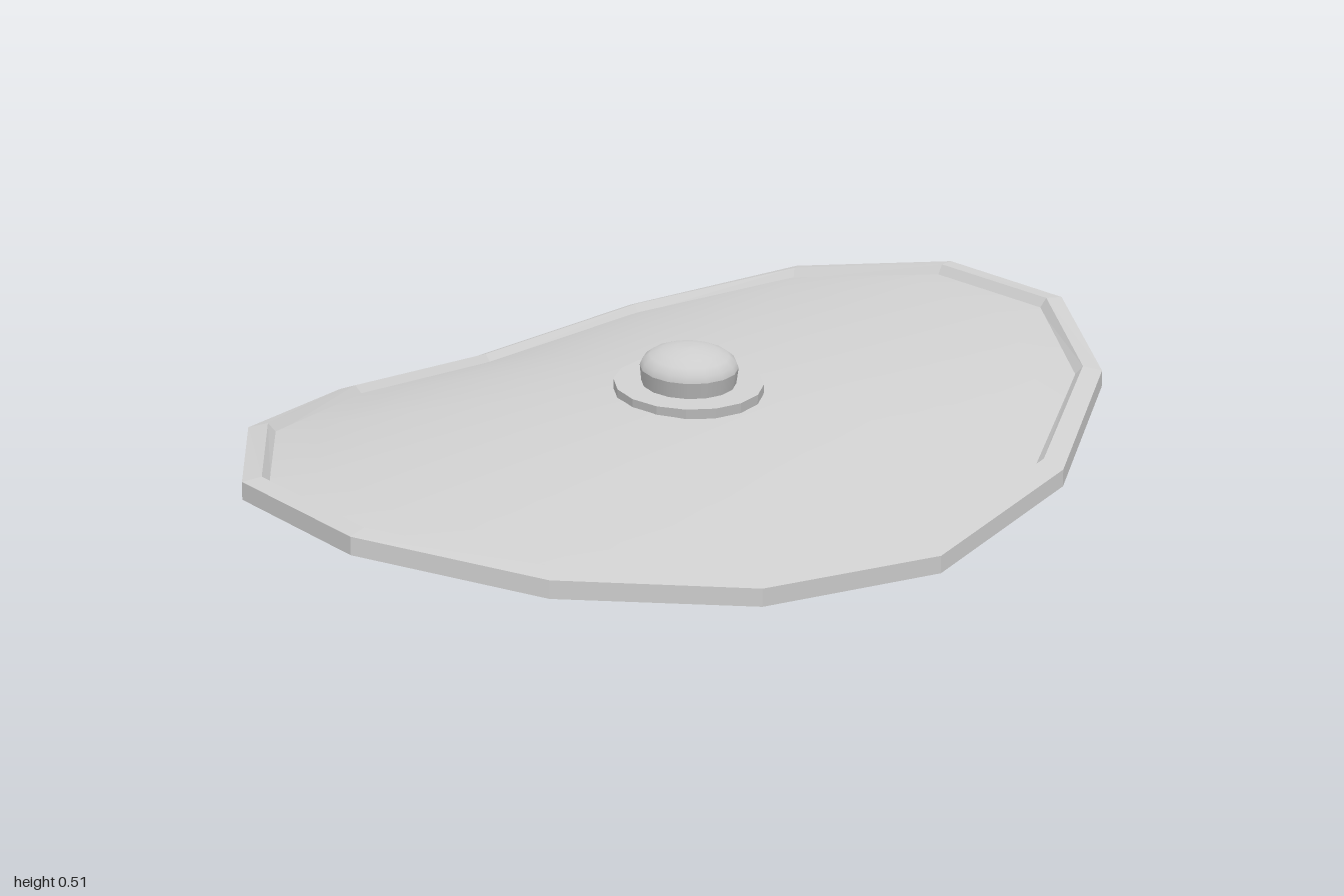
import * as THREE from 'three';

// Outer top edge of the rim: x, y, z, clockwise from the back
const EDGE = [
  [-0.12, 0.515, -1], [0.22, 0.455, -1], [0.51, 0.33, -0.79], [0.685, 0.17, -0.45],
  [0.725, 0.05, -0.03], [0.66, 0.035, 0.4], [0.475, 0.075, 0.77], [0.175, 0.145, 1],
  [-0.175, 0.205, 1], [-0.485, 0.255, 0.77], [-0.67, 0.282, 0.4], [-0.725, 0.313, -0.03],
  [-0.65, 0.41, -0.45], [-0.44, 0.495, -0.8],
];
const BOSS = { x: 0.03, z: 0, hole: 0.1 };

// Tilted arch that the whole shield follows
const arch = (x, z) => 0.32 - 0.15 * z - 0.185 * x - 0.28 * x * x;

// Point set in from the rim edge by w and lifted by dy, following the arch
function inset([x, y, z], w, dy) {
  const px = x * (1 - w / 0.725), pz = z * (1 - w);
  return [px, y + arch(px, pz) - arch(x, z) + dy, pz];
}

// Surface through columns of points, closed around the oval
function skin(columns) {
  const n = columns.length, m = columns[0].length, index = [];
  for (let i = 0; i < n; i++) {
    const k = (i + 1) % n;
    for (let j = 0; j < m - 1; j++) {
      const a = i * m + j, b = a + 1, c = k * m + j, d = c + 1;
      index.push(a, b, c, b, d, c);
    }
  }
  const g = new THREE.BufferGeometry();
  g.setAttribute('position', new THREE.Float32BufferAttribute(columns.flat(2), 3));
  g.setIndex(index);
  g.computeVertexNormals();
  return g;
}

function material(options = {}) {
  return new THREE.MeshStandardMaterial({ color: 0xcccccc, ...options });
}

function addMesh(parent, name, geometry, mat) {
  const mesh = new THREE.Mesh(geometry, mat);
  mesh.name = name;
  parent.add(mesh);
  return mesh;
}

const lathe = (points, segments) =>
  new THREE.LatheGeometry(points.map(([r, y]) => new THREE.Vector2(r, y)), segments);

export function createModel() {
  const group = new THREE.Group();
  group.name = 'shield';

  // Raised rim: outer wall, top, inner bevel, inner underside and bottom
  const rim = EDGE.map((p) => [
    inset(p, 0, -0.035), inset(p, 0, 0), inset(p, 0.04, 0.002), inset(p, 0.058, -0.022),
    inset(p, 0.045, -0.036), inset(p, 0, -0.035),
  ]);
  addMesh(group, 'rim', skin(rim), material({ flatShading: true }));

  // Thin arched plate, from under the rim to the hole behind the boss
  const RINGS = 8;
  const plate = EDGE.map((p) => {
    const outer = inset(p, 0.05, -0.018);
    const angle = Math.atan2(p[2] - BOSS.z, p[0] - BOSS.x);
    const hx = BOSS.x + BOSS.hole * Math.cos(angle), hz = BOSS.z + BOSS.hole * Math.sin(angle);
    const error = outer[1] - arch(outer[0], outer[2]);
    return Array.from({ length: RINGS + 1 }, (_, j) => {
      const t = 1 - j / RINGS;
      const x = hx + (outer[0] - hx) * t, z = hz + (outer[2] - hz) * t;
      return [x, arch(x, z) + error * t * t, z];
    });
  });
  addMesh(group, 'plate', skin(plate), material({ side: THREE.DoubleSide }));

  // Central boss, square to the tilted plate
  const boss = new THREE.Group();
  boss.name = 'boss';
  boss.position.set(BOSS.x, 0.322, BOSS.z);
  boss.quaternion.setFromUnitVectors(
    new THREE.Vector3(0, 1, 0), new THREE.Vector3(0.2, 1, 0.15).normalize());
  group.add(boss);

  // Flange seen on both faces of the plate
  addMesh(boss, 'flange',
    lathe([[0.095, -0.012], [0.16, -0.012], [0.16, 0.01], [0.095, 0.01], [0.095, -0.012]], 16),
    material({ flatShading: true }));

  // Hollow boss: short wall and shallow dome
  addMesh(boss, 'bossWall', lathe([[0.1, 0], [0.105, 0.045]], 16),
    material({ side: THREE.DoubleSide }));
  const dome = Array.from({ length: 6 }, (_, i) => {
    const a = (i / 5) * Math.PI / 2;
    return [0.105 * Math.cos(a), 0.045 + 0.044 * Math.sin(a)];
  });
  addMesh(boss, 'bossDome', lathe(dome, 16), material({ side: THREE.DoubleSide }));

  return group;
}
